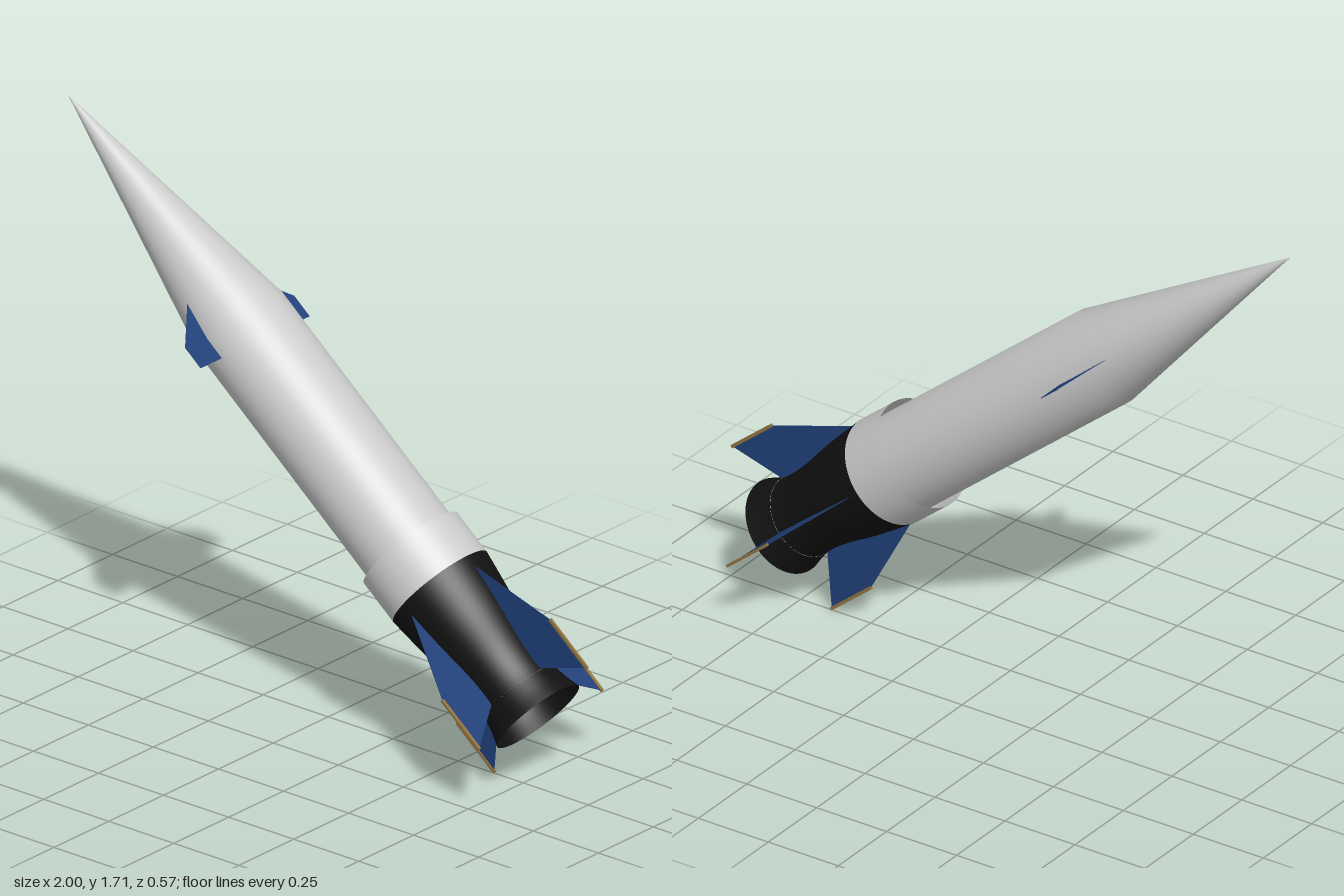
import * as THREE from 'three';

const material = (color) => new THREE.MeshStandardMaterial({ color, side: THREE.DoubleSide });
const grey = material(0xcccccc);
const black = material(0x111111);
const blue = material(0x1f4078);
const gold = material(0x8f7440);

function add(parent, name, geometry, mat) {
  const mesh = new THREE.Mesh(geometry, mat);
  mesh.name = name;
  parent.add(mesh);
  return mesh;
}

// Surface of revolution from [distance behind nose tip, radius] pairs, listed tail first
function turned(profile) {
  return new THREE.LatheGeometry(profile.map(([s, r]) => new THREE.Vector2(r, -s)), 64);
}

// Thin flat fin from [distance behind nose tip, radius] corners
function finGeometry(corners) {
  const depth = 0.002;
  const shape = new THREE.Shape(corners.map(([s, r]) => new THREE.Vector2(r, -s)));
  return new THREE.ExtrudeGeometry(shape, { depth, bevelEnabled: false }).translate(0, 0, -depth / 2);
}

export function createModel() {
  const model = new THREE.Group();
  model.name = 'rocket';

  // Everything is built along the rocket axis, nose tip at the origin, tail towards -y
  const rocket = new THREE.Group();
  rocket.name = 'tiltedRocket';
  rocket.position.set(-1, 1.72, 0);
  rocket.rotation.z = THREE.MathUtils.degToRad(50.6);
  model.add(rocket);

  // Nose cone and body share one smooth skin
  add(rocket, 'body', turned([[1.85, 0.153], [0.86, 0.153], [0, 0]]), grey);

  // Open sleeve around the lower body
  add(rocket, 'collar', turned([[1.851, 0.172], [1.705, 0.172]]), grey);

  // Tapered tail that flares out at the exhaust
  const tailCurve = new THREE.SplineCurve([
    [2.338, 0.15], [2.285, 0.135], [2.22, 0.126], [2.13, 0.132], [2.0, 0.154], [1.851, 0.172],
  ].map(([s, r]) => new THREE.Vector2(r, -s)));
  add(rocket, 'tail', new THREE.LatheGeometry(tailCurve.getPoints(24), 64), black);

  // Exhaust: pale funnel, dark throat and pointed plug
  add(rocket, 'exhaustFunnel', turned([[2.2, 0.06], [2.25, 0.129]]), grey);
  add(rocket, 'exhaustThroat', turned([[2.08, 0], [2.08, 0.06], [2.2, 0.06]]), black);
  add(rocket, 'exhaustPlug', turned([[2.26, 0], [2.16, 0.046], [2.1, 0.046]]), grey);

  // Four tail fins with gold tip strips
  const tailFin = finGeometry([[1.87, 0.155], [1.89, 0.166], [2.17, 0.28], [2.35, 0.28], [2.24, 0.12], [2.1, 0.12]]);
  const strip = new THREE.BoxGeometry(0.01, 0.185, 0.008).translate(0.28, -2.26, 0);
  for (let i = 0; i < 4; i++) {
    const fin = new THREE.Group();
    fin.name = 'tailFin' + (i + 1);
    fin.rotation.y = i * Math.PI / 2;
    add(fin, 'finBlade', tailFin, blue);
    add(fin, 'finTipStrip', strip, gold);
    rocket.add(fin);
  }

  // Pair of small fins at the base of the nose
  const noseFin = finGeometry([[0.737, 0.12], [0.737, 0.131], [0.854, 0.248], [0.931, 0.248], [0.931, 0.12]]);
  for (const side of [1, -1]) {
    add(rocket, side > 0 ? 'noseFinBack' : 'noseFinFront', noseFin, blue).rotation.y = side * Math.PI / 2;
  }

  return model;
}
